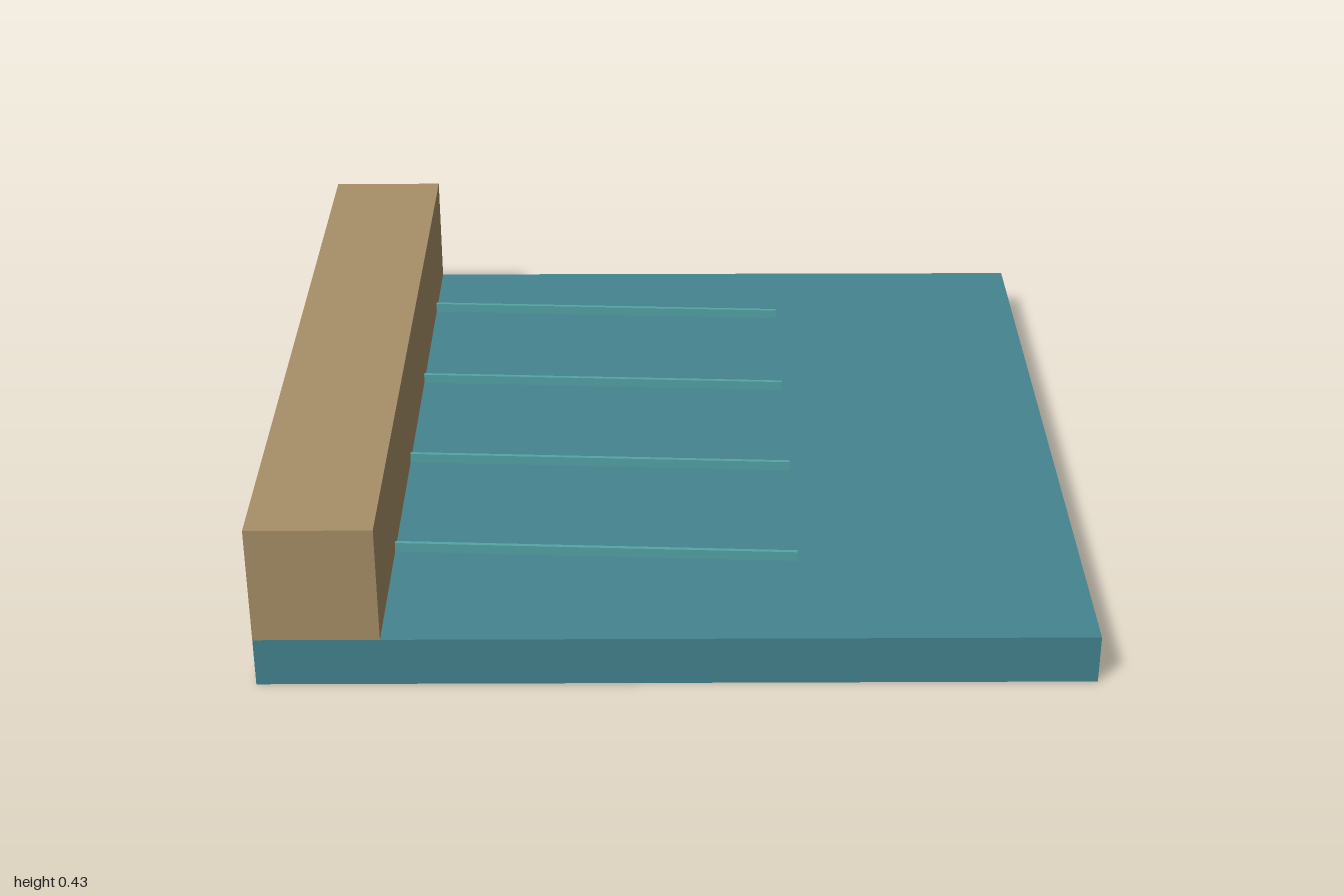
import * as THREE from 'three';

export function createModel() {
  const model = new THREE.Group();
  const material = (name, color) => {
    const m = new THREE.MeshStandardMaterial({ color });
    m.name = name;
    return m;
  };
  const teal = material('deep teal', 0x458590);
  const tan = material('tan', 0xa89069);
  const lightTeal = material('light teal', 0x55a5a8);

  // Box placed by its centre in x and z and by its underside in y
  const addBox = (name, mat, [w, h, d], [x, y, z]) => {
    const mesh = new THREE.Mesh(new THREE.BoxGeometry(w, h, d), mat);
    mesh.name = name;
    mesh.position.set(x, y + h / 2, z);
    model.add(mesh);
    return mesh;
  };

  // Flat slab with a raised block along its right edge
  addBox('baseSlab', teal, [2, 0.125, 2], [0, 0, 0]);
  addBox('edgeBlock', tan, [0.3, 0.3, 2], [-0.85, 0.125, 0]);

  // Four thin, slightly slanted ridges running out from the block
  for (let i = 0; i < 4; i++) {
    const ridge = addBox('ridge' + (i + 1), lightTeal, [1, 0.025, 0.01], [-0.2, 0.125, -0.725 + i * 0.45]);
    ridge.rotation.y = -Math.atan(0.05);
  }
  return model;
}
